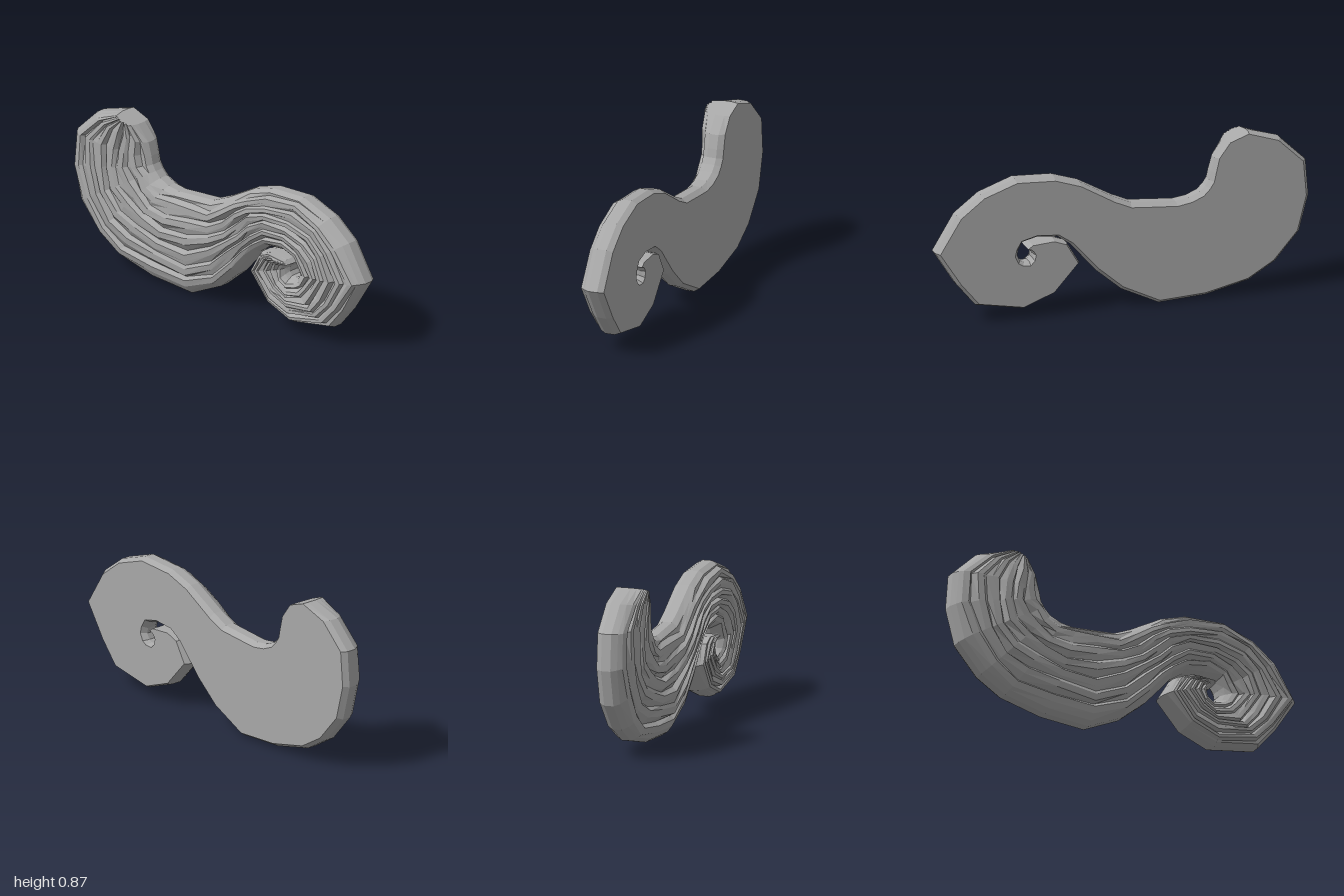
import * as THREE from 'three';

// Left and right edge of the curl along its length: [lx, ly, rx, ry]
const SECTIONS = [
  [-0.68, 0.87, -0.57, 0.83], [-0.85, 0.82, -0.50, 0.75], [-0.985, 0.69, -0.48, 0.68],
  [-1.0, 0.50, -0.47, 0.635], [-0.95, 0.31, -0.45, 0.605], [-0.82, 0.16, -0.42, 0.575],
  [-0.68, 0.075, -0.36, 0.55], [-0.45, 0.02, -0.29, 0.54], [-0.20, 0.005, -0.17, 0.55],
  [0.0, 0.10, -0.05, 0.56], [0.13, 0.21, 0.04, 0.60], [0.21, 0.30, 0.13, 0.65],
  [0.27, 0.37, 0.22, 0.70], [0.34, 0.42, 0.36, 0.745], [0.45, 0.43, 0.57, 0.755],
  [0.53, 0.41, 0.75, 0.69], [0.55, 0.37, 0.88, 0.59], [0.555, 0.34, 0.995, 0.40],
  [0.54, 0.31, 0.88, 0.22], [0.52, 0.30, 0.78, 0.10], [0.49, 0.30, 0.53, 0.055],
  [0.475, 0.32, 0.36, 0.12], [0.475, 0.345, 0.225, 0.27], [0.485, 0.36, 0.29, 0.38],
  [0.495, 0.37, 0.36, 0.405], [0.505, 0.375, 0.48, 0.395],
];
const RIDGES = 6;
const BACK = -0.08;

// Cross-section: flat back, rounded sides, front cut by grooves that fade in and out
function crossSection([lx, ly, rx, ry], i) {
  const width = Math.hypot(rx - lx, ry - ly);
  const inset = Math.min(0.05, 0.02 / width);
  const points = [];
  const add = (t, z) => points.push([lx + (rx - lx) * t, ly + (ry - ly) * t, z]);
  add(inset, BACK);
  add(0, -0.05);
  add(0, 0);
  add(inset, 0.03);
  for (let k = 0; k < RIDGES; k++) {
    const fade = 0.5 + 0.5 * Math.sin(i * 1.15 + k * 2.3);
    [0.1, 0.55, 0.78].forEach((f, n) => {
      const drift = 0.14 * Math.sin(i * 1.9 + k * 1.3);
      const t = inset * 1.5 + (1 - inset * 3) * (k + f + 0.1 + drift) / RIDGES;
      const dome = 0.034 + 0.043 * Math.sqrt(Math.max(0, Math.sin(Math.PI * t)));
      const cut = n === 2 ? 0.009 + 0.02 * fade : n === 0 ? 0.006 * fade : 0;
      add(t, dome - cut);
    });
  }
  add(1 - inset, 0.03);
  add(1, 0);
  add(1, -0.05);
  add(1 - inset, BACK);
  return points;
}

// Skin the sections and close both ends
function loft(rings) {
  const n = rings[0].length;
  const positions = rings.flat(2);
  const index = [];
  for (let i = 0; i < rings.length - 1; i++) {
    for (let j = 0; j < n; j++) {
      const a = i * n + j, d = i * n + (j + 1) % n;
      index.push(a, a + n, d + n, a, d + n, d);
    }
  }
  [0, rings.length - 1].forEach((r) => {
    const centre = positions.length / 3;
    for (let c = 0; c < 3; c++) positions.push(rings[r].reduce((s, p) => s + p[c], 0) / n);
    for (let j = 0; j < n; j++) {
      const a = r * n + j, b = r * n + (j + 1) % n;
      index.push(centre, r ? b : a, r ? a : b);
    }
  });
  const geometry = new THREE.BufferGeometry();
  geometry.setAttribute('position', new THREE.Float32BufferAttribute(positions, 3));
  geometry.setIndex(index);
  geometry.computeVertexNormals();
  return geometry;
}

export function createModel() {
  const grey = new THREE.MeshStandardMaterial({ color: 0xa8a8a8, flatShading: true, side: THREE.DoubleSide });
  grey.name = 'grey';
  const group = new THREE.Group();
  group.name = 'curledLock';

  const lock = new THREE.Mesh(loft(SECTIONS.map(crossSection)), grey);
  lock.name = 'groovedCurl';
  group.add(lock);
  return group;
}
